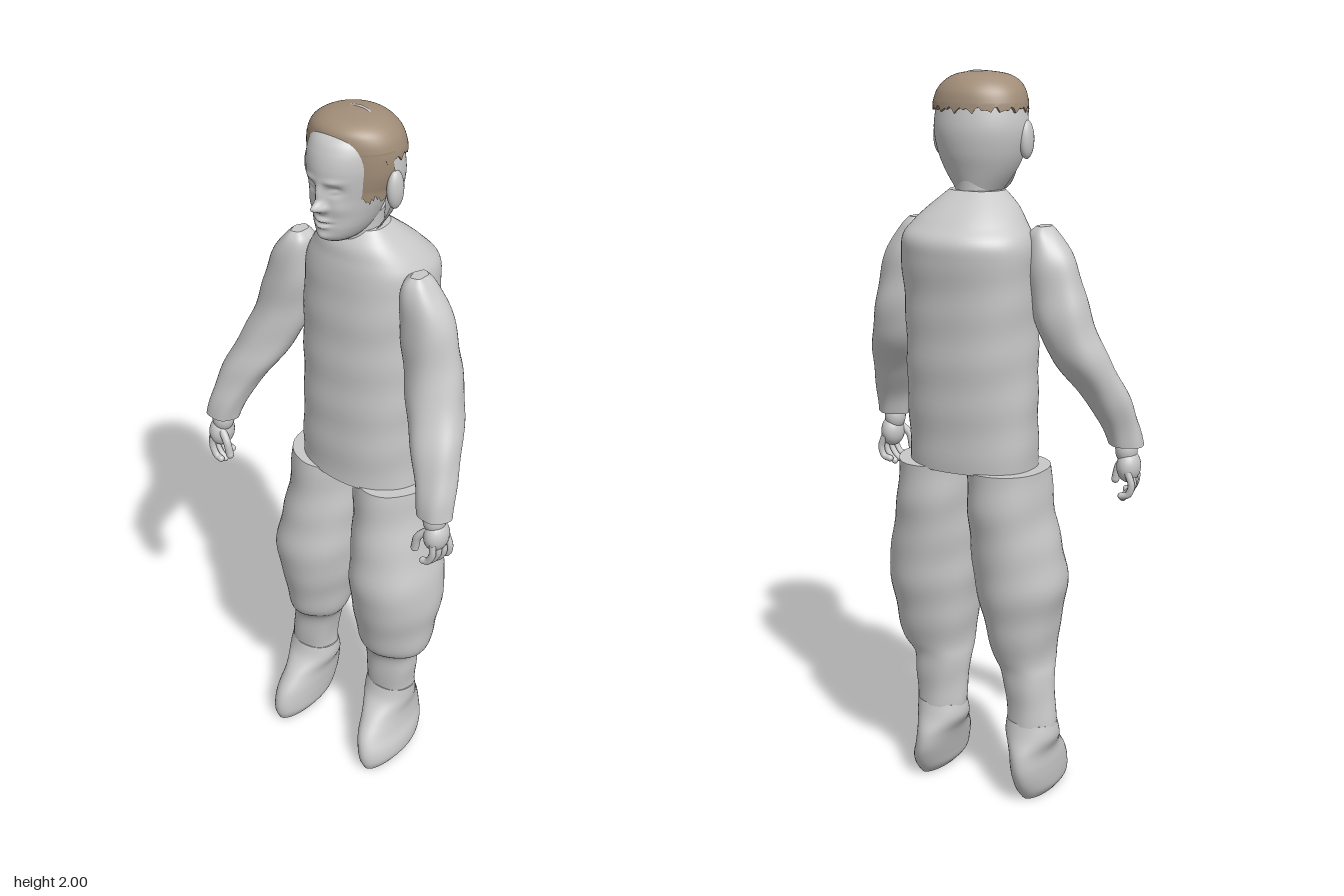
import * as THREE from 'three';

const cloth = new THREE.MeshStandardMaterial({ color: 0xc8c8c8, side: THREE.DoubleSide });
cloth.name = 'light grey';
const brown = new THREE.MeshStandardMaterial({ color: 0xa18d78, side: THREE.DoubleSide });
brown.name = 'hair brown';
const CX = 0.016; // centre line of head and torso

// Smooth interpolation through a list of equally spaced rows
function sample(rows, t) {
  const n = rows.length - 1;
  const k = Math.min(Math.floor(t * n), n - 1), f = t * n - k;
  const p = i => rows[Math.max(0, Math.min(n, i))];
  return rows[k].map((b, c) => {
    const a = p(k - 1)[c], d = p(k + 1)[c], e = p(k + 2)[c];
    return b + 0.5 * f * (d - a + f * (2 * a - 5 * b + 4 * d - e + f * (3 * (b - d) + e - a)));
  });
}

// Loft of rounded sections; each row is [y, x0, x1, z0, z1], from bottom to top
function loft(name, rows, { material = cloth, seg = 40, steps = 6, power = 2, from = 0, to = Math.PI * 2, caps = true, warp } = {}) {
  const closed = to - from > 6.28, cols = closed ? seg : seg + 1;
  const count = (rows.length - 1) * steps, pos = [], idx = [];
  const sq = v => Math.sign(v) * Math.abs(v) ** (2 / power);
  for (let j = 0; j <= count; j++) {
    const [y, x0, x1, z0, z1] = sample(rows, j / count);
    for (let i = 0; i < cols; i++) {
      const a = from + (to - from) * i / seg;
      const p = new THREE.Vector3((x0 + x1) / 2 + (x1 - x0) / 2 * sq(Math.cos(a)), y,
        (z0 + z1) / 2 + (z1 - z0) / 2 * sq(Math.sin(a)));
      if (warp) warp(p, a, j / count);
      pos.push(p.x, p.y, p.z);
    }
  }
  for (let j = 0; j < count; j++) for (let i = 0; i < seg; i++) {
    const n = (i + 1) % cols, a = j * cols + i, b = j * cols + n;
    idx.push(a, a + cols, b, b, a + cols, b + cols);
  }
  if (closed && caps) for (const j of [0, count]) {
    const start = pos.length / 3, c = [0, 0, 0];
    for (let i = 0; i < cols; i++) for (let k = 0; k < 3; k++) {
      const v = pos[(j * cols + i) * 3 + k];
      pos.push(v);
      c[k] += v / cols;
    }
    pos.push(...c);
    for (let i = 0; i < cols; i++) {
      const a = start + i, b = start + (i + 1) % cols;
      idx.push(start + cols, ...(j ? [b, a] : [a, b]));
    }
  }
  const g = new THREE.BufferGeometry();
  g.setAttribute('position', new THREE.Float32BufferAttribute(pos, 3));
  g.setIndex(idx);
  g.computeVertexNormals();
  const m = new THREE.Mesh(g, material);
  m.name = name;
  return m;
}

function ball(name, x, y, z, sx, sy, sz) {
  const m = new THREE.Mesh(new THREE.SphereGeometry(1, 20, 14), cloth);
  m.position.set(x, y, z);
  m.scale.set(sx, sy, sz);
  m.name = name;
  return m;
}

function tube(name, points, r) {
  const curve = new THREE.CatmullRomCurve3(points.map(p => new THREE.Vector3(...p)));
  const m = new THREE.Mesh(new THREE.TubeGeometry(curve, 12, r, 10), cloth);
  m.name = name;
  return m;
}

// Soft folds in the fabric
const folds = amount => (p, a) => {
  const d = amount * Math.sin(31 * p.y + 3 * a) * Math.sin(17 * p.y - 2 * a + 1);
  p.x += d * Math.cos(a);
  p.z += d * Math.sin(a);
};

// Facial relief: soft bumps [x offset, y, width, height, depth], mirrored
const features = [
  [0, 1.795, 0.013, 0.014, 0.033], [0, 1.825, 0.010, 0.025, 0.015], [0.014, 1.79, 0.008, 0.008, 0.01],
  [0.035, 1.838, 0.017, 0.012, -0.014], [0.035, 1.836, 0.011, 0.006, 0.008], [0.034, 1.862, 0.022, 0.008, 0.005],
  [0, 1.757, 0.02, 0.005, 0.010], [0, 1.741, 0.017, 0.005, 0.010], [0, 1.749, 0.024, 0.003, -0.006],
  [0, 1.712, 0.022, 0.012, 0.008], [0.045, 1.79, 0.02, 0.02, 0.005]];
function faceRelief(p, a) {
  if (Math.sin(a) < 0.1) return;
  const x = Math.abs(p.x - CX);
  for (const [fx, fy, w, h, d] of features)
    p.z += d * Math.exp(-(((x - fx) / w) ** 2) - ((p.y - fy) / h) ** 2);
}

// Rows centred on the body line: [y, half width, z0, z1]
const centred = rows => rows.map(([y, w, z0, z1]) => [y, CX - w, CX + w, z0, z1]);

function makeHead() {
  const head = new THREE.Group();
  head.name = 'head';
  head.add(loft('neck', centred([[1.6, 0.07, -0.06, 0.06], [1.68, 0.06, -0.055, 0.082], [1.74, 0.06, -0.06, 0.085]])));
  head.add(loft('face', centred([
    [1.68, 0.02, 0.03, 0.105], [1.70, 0.045, -0.01, 0.145], [1.73, 0.064, -0.04, 0.158], [1.77, 0.078, -0.06, 0.158],
    [1.81, 0.087, -0.07, 0.16], [1.85, 0.094, -0.075, 0.165], [1.89, 0.098, -0.075, 0.166],
    [1.93, 0.095, -0.07, 0.156], [1.96, 0.08, -0.06, 0.135], [1.985, 0.045, -0.03, 0.085]]),
  { seg: 88, steps: 10, warp: faceRelief }));
  // Shell over the back of the head, open to the front
  head.add(loft('headBack', centred([
    [1.70, 0.065, -0.05, 0.1], [1.75, 0.1, -0.066, 0.13], [1.80, 0.122, -0.081, 0.155],
    [1.86, 0.132, -0.088, 0.165], [1.93, 0.122, -0.078, 0.155]]),
  { from: Math.PI - 0.02, to: Math.PI * 2 + 0.02, seg: 36 }));
  // Hair cap with a ragged lower edge
  const ragged = drop => (p, a, t) => {
    if (t === 0) p.y -= drop * (0.5 + 0.5 * Math.sin(a * 23) * Math.sin(a * 41 + 1));
  };
  head.add(loft('hair', centred([
    [1.918, 0.13, -0.088, 0.131], [1.95, 0.12, -0.08, 0.13], [1.975, 0.1, -0.062, 0.122],
    [1.992, 0.068, -0.035, 0.095], [2, 0.02, 0.01, 0.045]]),
  { material: brown, seg: 96, warp: ragged(0.02) }));
  const sideRows = centred([[1.82, 0.112, -0.07, 0.128], [1.87, 0.126, -0.08, 0.13], [1.93, 0.128, -0.085, 0.131]]);
  for (const [name, from] of [['leftSideHair', 0.12], ['rightSideHair', Math.PI - 1.02]])
    head.add(loft(name, sideRows, { material: brown, seg: 20, from, to: from + 0.9, warp: ragged(0.025) }));
  // Pale parting across the crown
  const parting = tube('parting', [[-0.035, 1.985, 0.038], [-0.01, 1.994, 0.02], [0.02, 1.998, 0.014],
    [0.05, 1.994, 0.018], [0.075, 1.985, 0.034]], 0.005);
  head.add(parting);
  for (const s of [-1, 1]) head.add(ball(s > 0 ? 'leftEar' : 'rightEar', CX + s * 0.128, 1.83, 0.035, 0.018, 0.05, 0.026));
  return head;
}

function makeArm(s) {
  const arm = new THREE.Group();
  arm.name = s > 0 ? 'leftArm' : 'rightArm';
  // [y, inner x, outer x, back z, front z]
  const rows = [
    [1.025, 0.318, 0.415, 0.095, 0.18], [1.09, 0.298, 0.407, 0.075, 0.168], [1.17, 0.255, 0.392, 0.035, 0.145],
    [1.26, 0.205, 0.362, -0.02, 0.115], [1.34, 0.175, 0.335, -0.045, 0.09], [1.44, 0.15, 0.308, -0.048, 0.077],
    [1.53, 0.143, 0.278, -0.045, 0.075], [1.59, 0.152, 0.235, -0.03, 0.062], [1.615, 0.175, 0.21, -0.008, 0.045]];
  arm.add(loft('sleeve', rows.map(([y, a, b, z0, z1]) => {
    const shift = CX * THREE.MathUtils.smoothstep(y, 1.05, 1.5); // shoulders follow the body line
    return [y, ...(s > 0 ? [a, b] : [-b, -a]).map(x => x + shift), z0, z1];
  }), { warp: folds(0.003) }));
  arm.add(ball('wrist', s * 0.367, 1.01, 0.14, 0.03, 0.04, 0.032));
  arm.add(ball('palm', s * 0.375, 0.965, 0.14, 0.032, 0.045, 0.04));
  for (let i = 0; i < 4; i++) {
    const z = 0.11 + i * 0.02, tip = 0.872 + Math.abs(i - 1.4) * 0.011;
    arm.add(tube('finger' + (i + 1), [[s * 0.385, 0.955, z], [s * (0.397 - i * 0.004), 0.92, z],
      [s * (0.388 - i * 0.006), 0.893, z], [s * (0.368 - i * 0.004), tip, z]], 0.0095));
    arm.add(ball('fingertip' + (i + 1), s * (0.368 - i * 0.004), tip, z, 0.0095, 0.0095, 0.0095));
  }
  arm.add(tube('thumb', [[s * 0.365, 0.985, 0.155], [s * 0.335, 0.955, 0.165], [s * 0.325, 0.915, 0.165]], 0.011));
  arm.add(ball('thumbTip', s * 0.325, 0.915, 0.165, 0.011, 0.012, 0.011));
  return arm;
}

export function createModel() {
  const model = new THREE.Group();
  model.name = 'figure';
  model.add(makeHead(), makeArm(-1), makeArm(1));

  // Tunic with sloping shoulders and a full upper back
  model.add(loft('tunic', centred([
    [0.96, 0.182, -0.14, 0.115], [1.1, 0.182, -0.15, 0.116], [1.25, 0.182, -0.162, 0.114], [1.4, 0.182, -0.172, 0.11],
    [1.52, 0.182, -0.186, 0.106], [1.58, 0.176, -0.19, 0.1], [1.62, 0.152, -0.155, 0.096],
    [1.66, 0.118, -0.11, 0.09], [1.70, 0.075, -0.06, 0.064]]),
  { seg: 56, power: 2.2, warp: folds(0.003) }));

  // Baggy trousers, gathered below the knee
  const trouserDepth = [[0.225, -0.055, 0.065], [0.3, -0.056, 0.07], [0.37, -0.058, 0.082], [0.42, -0.07, 0.118],
    [0.52, -0.095, 0.138], [0.63, -0.117, 0.155], [0.74, -0.125, 0.143], [0.85, -0.138, 0.126], [0.965, -0.14, 0.115]];
  const trouserWidth = {
    right: [[-0.23, -0.087], [-0.224, -0.083], [-0.215, -0.062], [-0.212, -0.035], [-0.222, -0.01],
      [-0.243, 0.013], [-0.228, 0.018], [-0.208, 0.02], [-0.2, 0.02]],
    left: [[0.06, 0.205], [0.054, 0.21], [0.05, 0.22], [0.046, 0.262], [0.036, 0.28],
      [0.026, 0.29], [0.022, 0.268], [0.02, 0.244], [0.018, 0.232]],
  };
  // Soft boots, full at the heel and long at the toe
  const bootDepth = [[0, -0.04, 0.172], [0.025, -0.06, 0.181], [0.06, -0.08, 0.18], [0.1, -0.091, 0.165],
    [0.145, -0.088, 0.128], [0.19, -0.068, 0.083], [0.23, -0.055, 0.066]];
  const bootWidth = {
    right: [[-0.2, -0.125], [-0.216, -0.11], [-0.22, -0.106], [-0.22, -0.104], [-0.219, -0.1], [-0.236, -0.083], [-0.232, -0.085]],
    left: [[0.135, 0.208], [0.114, 0.222], [0.104, 0.22], [0.094, 0.206], [0.08, 0.2], [0.056, 0.206], [0.058, 0.206]],
  };
  for (const side of ['right', 'left']) {
    const join = (depth, width) => depth.map(([y, z0, z1], i) => [y, ...width[side][i], z0, z1]);
    model.add(loft(side + 'Trouser', join(trouserDepth, trouserWidth), { warp: folds(0.003) }));
    model.add(loft(side + 'Boot', join(bootDepth, bootWidth)));
  }
  return model;
}
